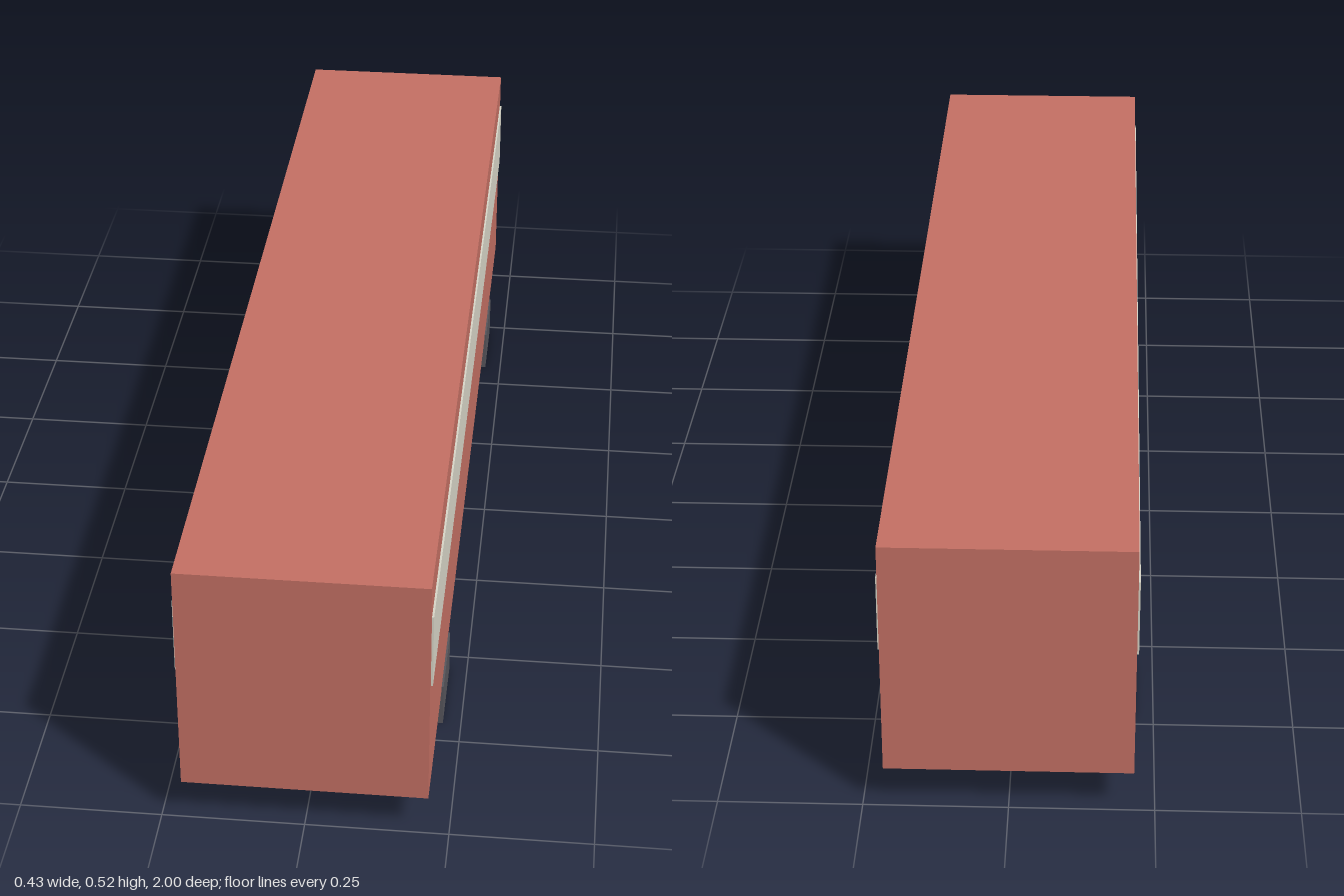
import * as THREE from 'three';

const paint = (color) => new THREE.MeshStandardMaterial({ color, flatShading: true });

export function createModel() {
  const model = new THREE.Group();
  model.name = 'railCar';
  const red = paint(0xc47064), cream = paint(0xd8d6c8), dark = paint(0x57565c);

  // Box from its size, bottom height and centre
  const addBox = (name, material, [w, h, d], x, bottom, z) => {
    const mesh = new THREE.Mesh(new THREE.BoxGeometry(w, h, d), material);
    mesh.name = name;
    mesh.position.set(x, bottom + h / 2, z);
    model.add(mesh);
  };

  // Long car body
  addBox('body', red, [0.427, 0.44, 2], 0, 0.077, 0);

  // Window band standing slightly proud of each side
  for (const [name, side] of [['leftWindowBand', 1], ['rightWindowBand', -1]]) {
    addBox(name, cream, [0.008, 0.141, 1.974], side * 0.213, 0.31, 0);
  }

  // Wheel trucks, a little wider than the body
  addBox('frontTruck', dark, [0.434, 0.083, 0.164], 0, 0, 0.618);
  addBox('rearTruck', dark, [0.434, 0.083, 0.164], 0, 0, -0.652);

  return model;
}
